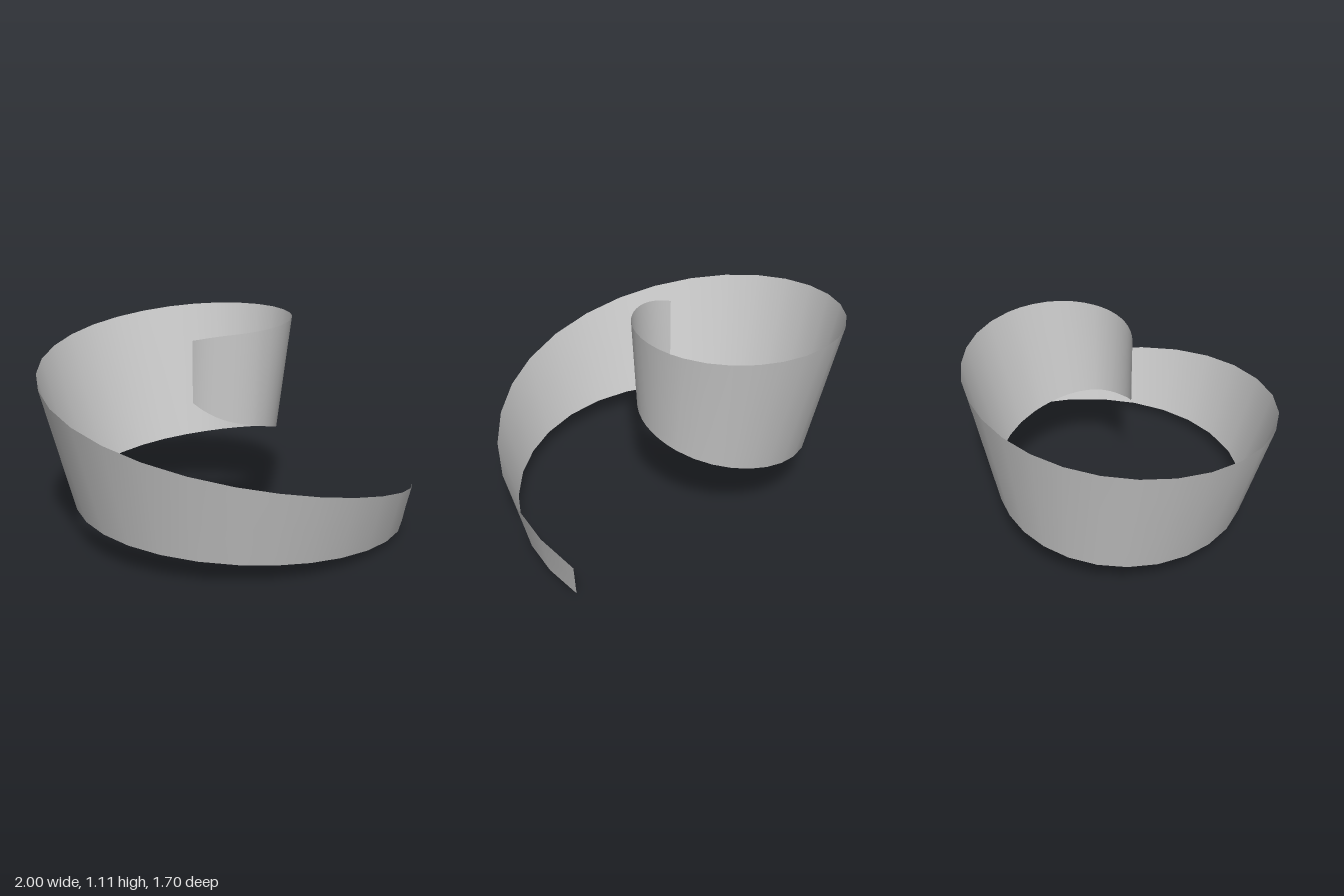
import * as THREE from 'three';

// Spiral axis, in plan
const CX = -0.145, CZ = -0.18;

// Edge stations: [angle in degrees from +x towards +z, radius, height]
const TOP = [
  [4.3, 1.147, 0.21], [84.7, 1.034, 0.55], [172.7, 0.862, 0.87], [258.6, 0.683, 1.05],
  [343, 0.517, 1.11], [399, 0.395, 1.108], [434.7, 0.305, 1.09], [463.4, 0.231, 1.055],
];
const BOTTOM = [
  [5.8, 1.096, 0], [82.2, 0.919, 0.11], [169.2, 0.692, 0.2], [263.8, 0.513, 0.33],
  [350.3, 0.416, 0.5], [400, 0.365, 0.6], [431, 0.3, 0.65], [463.4, 0.233, 0.728],
];

// Smooth curve through the stations, kept in polar form
const edge = (stations) =>
  new THREE.CatmullRomCurve3(stations.map((s) => new THREE.Vector3(...s)), false, 'chordal');

const toWorld = (p) => {
  const a = THREE.MathUtils.degToRad(p.x);
  return new THREE.Vector3(CX + p.y * Math.cos(a), p.z, CZ + p.y * Math.sin(a));
};

export function createModel() {
  const group = new THREE.Group();
  group.name = 'spiralRibbon';

  // Ribbon: a strip ruled between the lower and upper edge curves
  const top = edge(TOP), bottom = edge(BOTTOM);
  const geometry = new THREE.PlaneGeometry(1, 1, 49, 2);
  const pos = geometry.attributes.position;
  for (let i = 0; i < pos.count; i++) {
    const t = THREE.MathUtils.clamp(0.5 - pos.getX(i), 0, 1);
    const v = pos.getY(i) + 0.5;
    const p = toWorld(bottom.getPoint(t)).lerp(toWorld(top.getPoint(t)), v);
    pos.setXYZ(i, p.x, p.y, p.z);
  }
  geometry.computeVertexNormals();

  const material = new THREE.MeshStandardMaterial({ color: 0xcccccc, side: THREE.DoubleSide });
  const ribbon = new THREE.Mesh(geometry, material);
  ribbon.name = 'ribbon';
  group.add(ribbon);
  return group;
}
